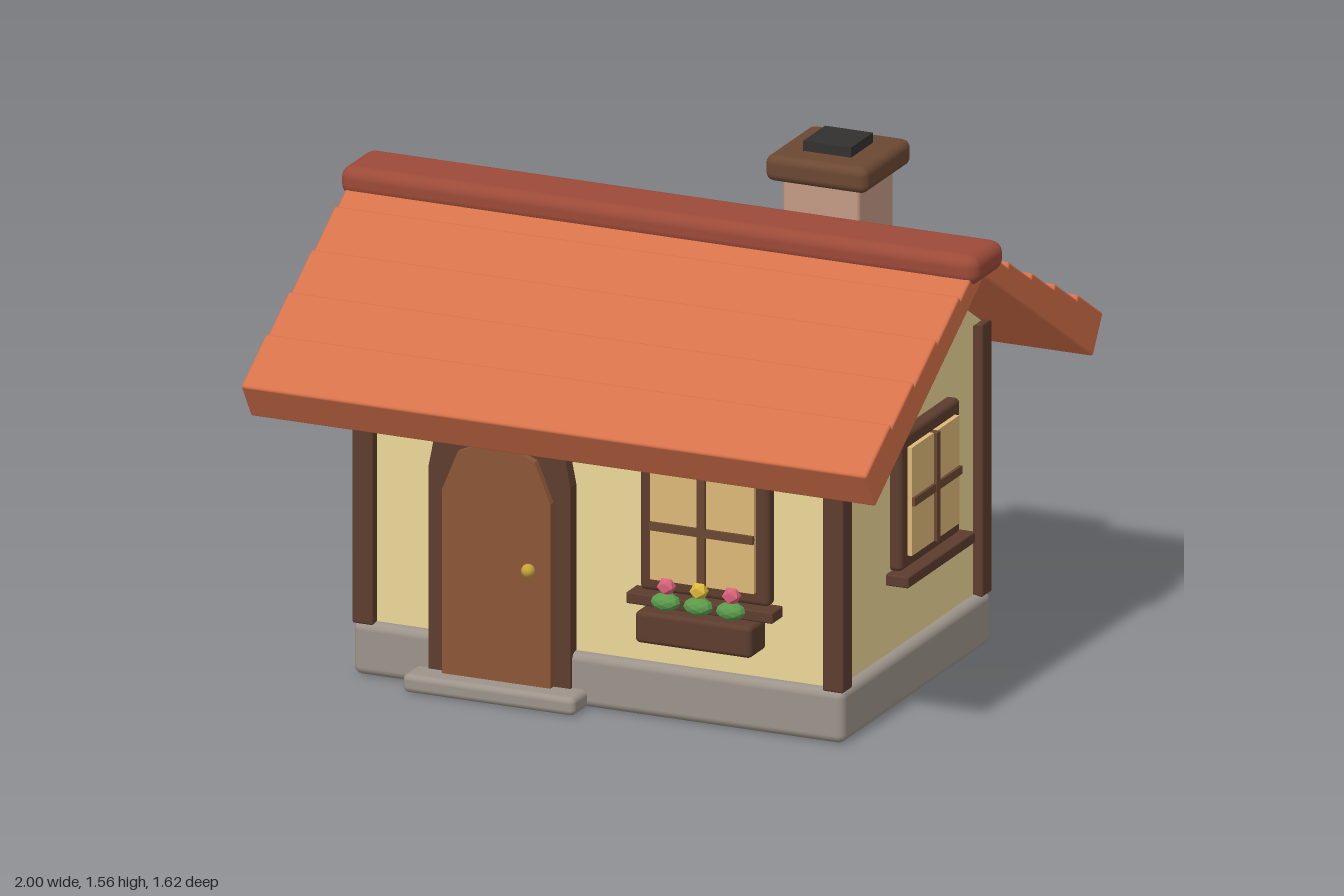
import * as THREE from 'three';
import { RoundedBoxGeometry } from 'three/addons/geometries/RoundedBoxGeometry.js';

const mat = (color, flatShading = false) => new THREE.MeshStandardMaterial({ color, flatShading });
const M = {
  stone: mat(0x9c948a), wall: mat(0xecd898), wood: mat(0x5c3d2e), trim: mat(0x6b4832),
  door: mat(0x8b5636), glass: mat(0xdeb877), roof: mat(0xd4714a), ridge: mat(0x9c4a38),
  brick: mat(0xc49a86), soot: mat(0x333030), gold: mat(0xc9a13b),
  leaf: mat(0x5a9a4a, true), pink: mat(0xd9627a, true), yellow: mat(0xdcb83c, true),
};

function add(parent, name, geometry, material, x = 0, y = 0, z = 0) {
  const mesh = new THREE.Mesh(geometry, material);
  mesh.name = name;
  mesh.position.set(x, y, z);
  parent.add(mesh);
  return mesh;
}
const rbox = (w, h, d, r) => new RoundedBoxGeometry(w, h, d, 3, r);

// Arched plate with a straight lower part and a faceted half-round top
function archPlate(halfWidth, bottom, spring, segments, depth) {
  const shape = new THREE.Shape();
  shape.moveTo(-halfWidth, bottom);
  shape.lineTo(halfWidth, bottom);
  for (let i = 0; i <= segments; i++) {
    const a = (i / segments) * Math.PI;
    shape.lineTo(halfWidth * Math.cos(a), spring + halfWidth * Math.sin(a));
  }
  return new THREE.ExtrudeGeometry(shape, { depth, bevelEnabled: false });
}

// Window built facing +z from the wall plane, with sill
function makeWindow(name, x, y, z, turn) {
  const g = new THREE.Group();
  g.name = name;
  add(g, 'windowFrame', rbox(0.405, 0.405, 0.055, 0.014), M.wood, 0, 0, 0.008);
  add(g, 'windowPane', new THREE.BoxGeometry(0.325, 0.325, 0.04), M.glass, 0, 0, 0.03);
  add(g, 'verticalBar', new THREE.BoxGeometry(0.025, 0.325, 0.03), M.trim, 0, 0, 0.045);
  add(g, 'horizontalBar', new THREE.BoxGeometry(0.325, 0.025, 0.03), M.trim, 0, 0, 0.044);
  add(g, 'windowSill', rbox(0.46, 0.034, 0.09, 0.005), M.wood, 0, -0.221, 0.025);
  g.position.set(x, y, z);
  g.rotation.y = turn;
  return g;
}

// Stepped planks on one slope, thicker toward the eave
function makeSlope(name, turn) {
  const g = new THREE.Group();
  g.name = name;
  const tilt = new THREE.Group();
  const starts = [0, 0.147, 0.325, 0.5, 0.675, 0.878];
  for (let i = 0; i < 5; i++) {
    const t = 0.07 + i * 0.015;
    const end = Math.min(starts[i + 1] + 0.04, 0.878);
    add(tilt, 'roofPlank', rbox(1.96, t, end - starts[i], 0.008), M.roof,
      0, t / 2, (starts[i] + end) / 2);
  }
  tilt.rotation.x = Math.atan2(0.465, 0.745);
  tilt.position.y = 1.283;
  g.add(tilt);
  g.rotation.y = turn;
  return g;
}

export function createModel() {
  const house = new THREE.Group();
  house.name = 'cottage';

  // Base, walls and gables
  add(house, 'foundation', rbox(1.54, 0.16, 1.02, 0.025), M.stone, 0, 0.08, 0);
  add(house, 'walls', new THREE.BoxGeometry(1.48, 0.84, 0.96), M.wall, 0, 0.555, 0);
  const tri = new THREE.Shape([
    new THREE.Vector2(-0.48, 0.975), new THREE.Vector2(0.48, 0.975), new THREE.Vector2(0, 1.275)]);
  const gable = new THREE.ExtrudeGeometry(tri, { depth: 1.5, bevelEnabled: false });
  gable.translate(0, 0, -0.75).rotateY(Math.PI / 2);
  add(house, 'gables', gable, M.wall);
  for (const sx of [-1, 1]) for (const sz of [-1, 1])
    add(house, 'cornerPost', rbox(0.065, 0.82, 0.065, 0.006), M.wood, sx * 0.7375, 0.565, sz * 0.4775);

  // Roof
  house.add(makeSlope('frontRoof', 0), makeSlope('backRoof', Math.PI));
  add(house, 'ridgeCap', rbox(2, 0.09, 0.208, 0.036), M.ridge, 0, 1.325, 0);

  // Chimney
  add(house, 'chimneyStack', rbox(0.24, 0.38, 0.24, 0.012), M.brick, 0.42, 1.27, -0.22);
  add(house, 'chimneyCap', rbox(0.32, 0.078, 0.32, 0.025), M.trim, 0.42, 1.491, -0.22);
  add(house, 'chimneyFlue', new THREE.BoxGeometry(0.15, 0.05, 0.15), M.soot, 0.42, 1.535, -0.22);

  // Door
  add(house, 'doorFrame', archPlate(0.223, 0.05, 0.66, 8, 0.06), M.wood, -0.303, 0, 0.46);
  add(house, 'doorPanel', archPlate(0.17, 0.05, 0.608, 4, 0.07), M.door, -0.303, 0, 0.472);
  add(house, 'doorKnob', new THREE.SphereGeometry(0.02, 16, 12), M.gold, -0.197, 0.405, 0.555);
  add(house, 'doorStep', rbox(0.54, 0.055, 0.2, 0.018), M.stone, -0.303, 0.0275, 0.5);

  // Windows
  house.add(
    makeWindow('frontWindow', 0.337, 0.586, 0.48, 0),
    makeWindow('backWindow', -0.16, 0.605, -0.48, Math.PI),
    makeWindow('leftWindow', 0.74, 0.605, -0.08, Math.PI / 2),
    makeWindow('rightWindow', -0.74, 0.605, -0.08, -Math.PI / 2));

  // Round gable windows
  for (const s of [-1, 1]) {
    const g = new THREE.Group();
    g.name = 'roundWindow';
    add(g, 'roundFrame', new THREE.TorusGeometry(0.088, 0.018, 8, 12), M.trim);
    const pane = add(g, 'roundPane', new THREE.CylinderGeometry(0.08, 0.08, 0.02, 24), M.glass);
    pane.rotation.x = Math.PI / 2;
    g.position.set(s * 0.755, 1.15, 0);
    g.rotation.y = s * Math.PI / 2;
    house.add(g);
  }

  // Flower box
  add(house, 'flowerBox', rbox(0.365, 0.095, 0.11, 0.014), M.wood, 0.337, 0.297, 0.54);
  [M.pink, M.yellow, M.pink].forEach((petal, i) => {
    const x = 0.235 + i * 0.102;
    const leaves = add(house, 'leaves', new THREE.IcosahedronGeometry(0.045, 1), M.leaf, x, 0.372, 0.556);
    leaves.scale.set(1, 0.6, 0.75);
    add(house, 'flower', new THREE.IcosahedronGeometry(0.028, 0), petal, x, 0.416, 0.55);
  });

  return house;
}
